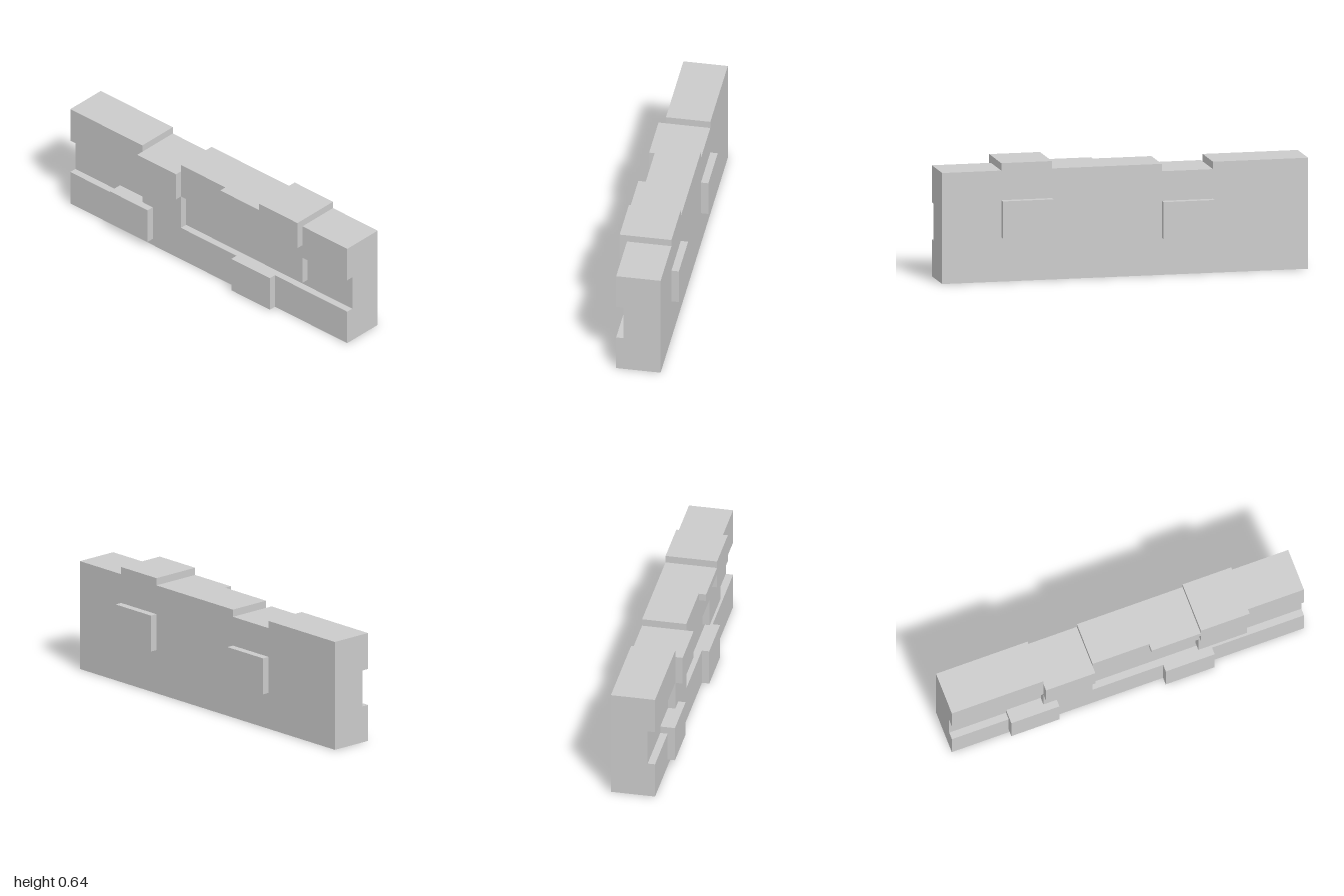
import * as THREE from 'three';

const material = new THREE.MeshStandardMaterial({ color: 0xcccccc, flatShading: true });

// Extrudes an x-y outline from z0 to z1.
function layer(name, points, z0, z1) {
  const shape = new THREE.Shape(points.map(([x, y]) => new THREE.Vector2(x, y)));
  const geometry = new THREE.ExtrudeGeometry(shape, { depth: z1 - z0, bevelEnabled: false });
  geometry.translate(0, 0, z0);
  const mesh = new THREE.Mesh(geometry, material);
  mesh.name = name;
  return mesh;
}

// Box given by its two opposite corners.
function block(name, [x0, x1], [y0, y1], [z0, z1]) {
  const mesh = new THREE.Mesh(new THREE.BoxGeometry(x1 - x0, y1 - y0, z1 - z0), material);
  mesh.position.set((x0 + x1) / 2, (y0 + y1) / 2, (z0 + z1) / 2);
  mesh.name = name;
  return mesh;
}

export function createModel() {
  const group = new THREE.Group();
  group.name = 'stoneWall';

  const back = -0.12, recess = 0.08, front = 0.12, proud = 0.16;
  const sunken = [-0.48, -0.2]; // lowered top stone
  const raised = [0.4, 0.677];  // raised top stone

  // Top edge from right to left, with the raised and lowered stones
  const topEdge = [
    [1, 0.6], [raised[1], 0.6], [raised[1], 0.64], [raised[0], 0.64], [raised[0], 0.6],
    [sunken[1], 0.6], [sunken[1], 0.56], [sunken[0], 0.56], [sunken[0], 0.6], [-1, 0.6],
  ];

  // Wall body behind the recessed middle course
  group.add(layer('wallBody', [[-1, 0], [1, 0], ...topEdge], back, recess));

  // Front skin, cut away where the middle course is recessed
  group.add(layer('frontCourses', [
    [-1, 0], [1, 0], [1, 0.2], [sunken[1], 0.2], [sunken[1], 0.4],
    [raised[0], 0.4], [raised[0], 0.24], [raised[1], 0.24], [raised[1], 0.4], [1, 0.4],
    ...topEdge,
    [-1, 0.4], [sunken[0], 0.4], [sunken[0], 0.24], [-0.677, 0.24], [-0.677, 0.2], [-1, 0.2],
  ], recess, front));

  // Stones standing proud of the front
  const frontZ = [front, proud];
  group.add(
    block('sunkenTopStone', sunken, [0.4, 0.56], frontZ),
    block('raisedTopStone', raised, [0.48, 0.64], frontZ),
    block('topLedge', [0.12, raised[0]], [0.56, 0.6], frontZ),
    block('lowerRightStone', [-0.677, -0.404], [0.04, 0.24], frontZ),
    block('lowerLeftStone', [0.2, 0.478], [0, 0.2], frontZ),
  );

  // Stones standing proud of the back
  const backZ = [-proud, back];
  group.add(
    block('backLeftStone', raised, [0.24, 0.44], backZ),
    block('backRightStone', sunken, [0.2, 0.4], backZ),
  );

  return group;
}
